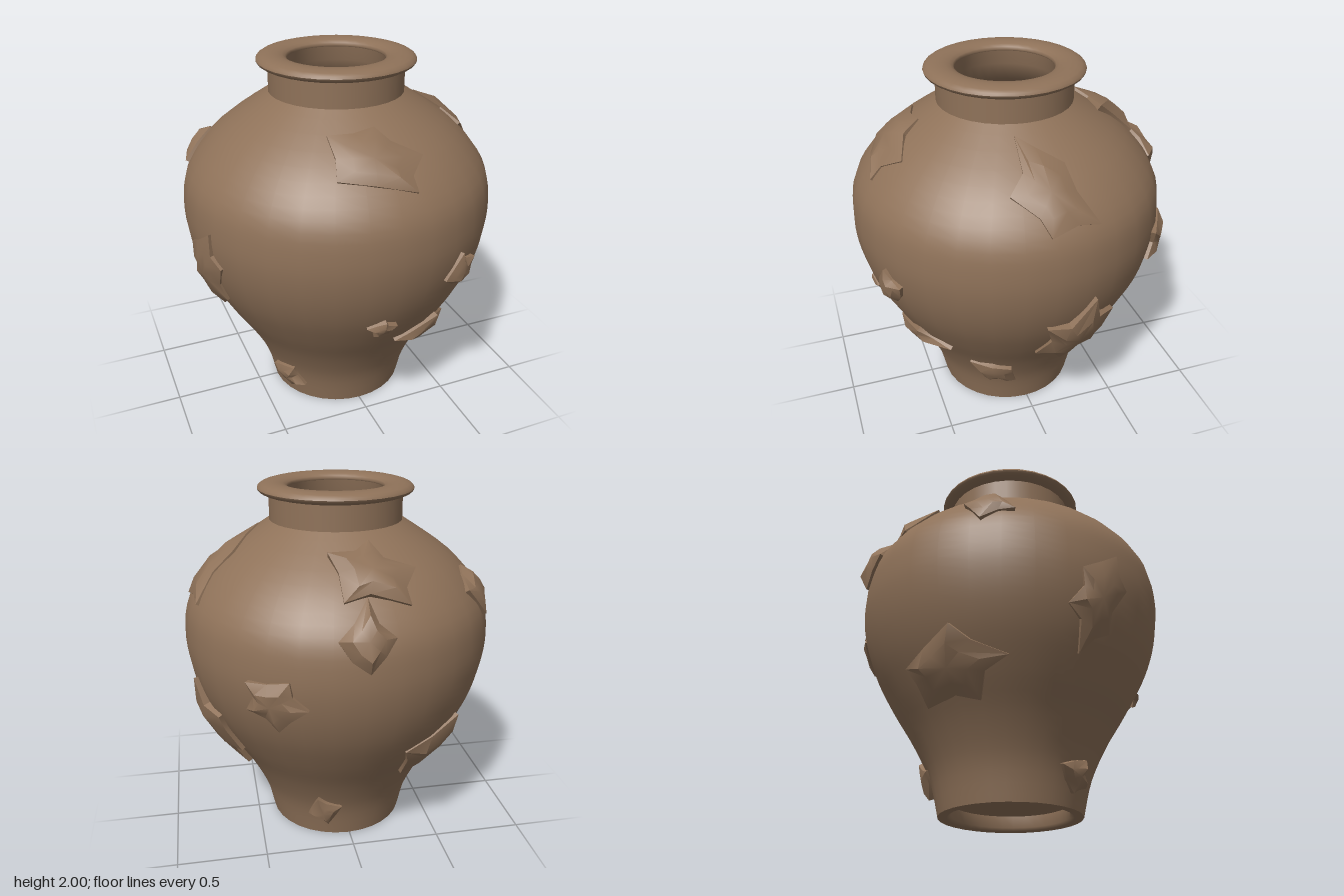
import * as THREE from 'three';
import { toCreasedNormals } from 'three/addons/utils/BufferGeometryUtils.js';

const SEGMENTS = 32;

// Outer body profile as [radius, height], smoothed by a spline
const toPoints = (pairs) => pairs.map(([r, y]) => new THREE.Vector2(r, y));
const BODY = new THREE.SplineCurve(toPoints([
  [0.39, 0], [0.44, 0.2], [0.537, 0.4], [0.662, 0.6], [0.77, 0.8], [0.836, 1.0],
  [0.855, 1.2], [0.815, 1.4], [0.65, 1.6], [0.365, 1.8],
])).getPoints(36);

function radiusAt(y) {
  const i = Math.max(1, BODY.findIndex((p) => p.y >= y));
  const a = BODY[i - 1], b = BODY[i];
  return THREE.MathUtils.mapLinear(y, a.y, b.y, a.x, b.x);
}

// Growths: name, angle from the front in degrees, height, half width, half height, lobes, tilt, thickness
const GROWTHS = [
  ['frontShoulderGrowth', -6, 1.62, 0.27, 0.13, 5, -0.25, 0.035],
  ['frontBellyGrowth', 27, 1.0, 0.12, 0.1, 4, 0.3, 0.045],
  ['frontSmallGrowth', -4, 0.75, 0.075, 0.055, 5, 0, 0.04],
  ['frontLowGrowth', 26, 0.57, 0.2, 0.08, 4, 0, 0.045],
  ['leftFootGrowth', 66, 0.31, 0.15, 0.1, 4, -0.7, 0.045],
  ['rightFootGrowth', -60, 0.16, 0.11, 0.09, 4, -0.3, 0.045],
  ['leftShoulderGrowth', 90, 1.57, 0.23, 0.16, 5, -0.8, 0.035],
  ['leftBellyGrowth', 103, 0.71, 0.22, 0.27, 6, 0, 0.06],
  ['backShoulderGrowth', 186, 1.64, 0.23, 0.13, 5, -0.2, 0.055],
  ['backUpperGrowth', 180, 1.38, 0.14, 0.16, 4, 0, 0.055],
  ['backLeftGrowth', 148, 1.05, 0.17, 0.16, 5, -0.5, 0.045],
  ['backFootGrowth', 161, 0.2, 0.11, 0.1, 4, 0.4, 0.045],
  ['rightShoulderGrowth', 242, 1.46, 0.14, 0.12, 4, -0.3, 0.04],
  ['backRightGrowth', 224, 0.62, 0.3, 0.17, 5, 0, 0.045],
  ['rightBellyGrowth', 283, 0.95, 0.17, 0.28, 6, -0.3, 0.04],
];

function seeded(seed) {
  let s = seed;
  return () => (s = (s * 16807) % 2147483647) / 2147483647;
}

// Point on the body, raised along the surface normal
function onBody(angle, y, lift) {
  const r = radiusAt(y);
  const slope = (radiusAt(y + 0.02) - radiusAt(y - 0.02)) / 0.04;
  const n = Math.hypot(1, slope);
  const out = r + lift / n;
  return [Math.sin(angle) * out, y - slope * lift / n, Math.cos(angle) * out];
}

// Jagged star-shaped lump: rings that shrink toward a raised centre
function growthGeometry(degrees, height, halfWidth, halfHeight, lobes, tilt, thickness, seed) {
  const rand = seeded(seed);
  const angle = THREE.MathUtils.degToRad(degrees);
  const r = radiusAt(height);
  const n = lobes * 2;
  const outline = Array.from({ length: n }, (_, i) => {
    const a = (i + (rand() - 0.5) * 0.5) / n * Math.PI * 2 + Math.PI / 2;
    const reach = i % 2 ? 0.6 + 0.2 * rand() : 0.92 + 0.2 * rand();
    return new THREE.Vector2(Math.cos(a) * reach * halfWidth, Math.sin(a) * reach * halfHeight)
      .rotateAround(new THREE.Vector2(), tilt);
  });
  const positions = [], index = [];
  for (const [scale, level] of [[1, -0.6], [1, 0.4], [0.55, 0.9]]) {
    for (const p of outline) {
      const bump = level > 0 ? (rand() - 0.5) * 0.45 : 0;
      positions.push(...onBody(angle + p.x * scale / r, height + p.y * scale, (level + bump) * thickness));
    }
  }
  positions.push(...onBody(angle, height, thickness));
  for (let i = 0; i < n; i++) {
    const j = (i + 1) % n;
    for (const k of [0, n]) index.push(k + i, k + j, k + j + n, k + i, k + j + n, k + i + n);
    index.push(2 * n + i, 2 * n + j, 3 * n);
  }
  const geometry = new THREE.BufferGeometry();
  geometry.setAttribute('position', new THREE.Float32BufferAttribute(positions, 3));
  geometry.setIndex(index);
  return toCreasedNormals(geometry, 0.6);
}

export function createModel() {
  const model = new THREE.Group();
  model.name = 'vase';
  const clay = new THREE.MeshStandardMaterial({ color: 0x8f7259 });
  clay.name = 'brown clay';

  const add = (name, geometry) => {
    const mesh = new THREE.Mesh(geometry, clay);
    mesh.name = name;
    mesh.position.set(0.008, 0, 0.01);
    model.add(mesh);
  };
  const lathe = (name, points) => add(name, new THREE.LatheGeometry(points, SEGMENTS));

  // Shell, neck and rounded rim
  lathe('body', BODY);
  lathe('neck', toPoints([[0.365, 1.8], [0.365, 1.95]]));
  lathe('rim', new THREE.EllipseCurve(0.343, 1.967, 0.082, 0.033).getPoints(16));

  // Hollow inside and its floor
  lathe('innerWall', toPoints([[0.265, 1.96], [0.28, 1.88], [0.31, 1.78], [0.6, 1.58],
    [0.79, 1.2], [0.6, 0.6], [0.36, 0.12]]));
  lathe('innerFloor', toPoints([[0.37, 0.12], [0, 0.12]]));

  // Foot ring with a recessed underside
  lathe('footRing', toPoints([[0.32, 0.08], [0.32, 0.015], [0.34, 0], [0.39, 0]]));
  lathe('underside', toPoints([[0, 0.08], [0.33, 0.08]]));

  // Rough growths scattered over the surface
  GROWTHS.forEach(([name, ...shape], i) => add(name, growthGeometry(...shape, 101 + i * 977)));

  return model;
}
